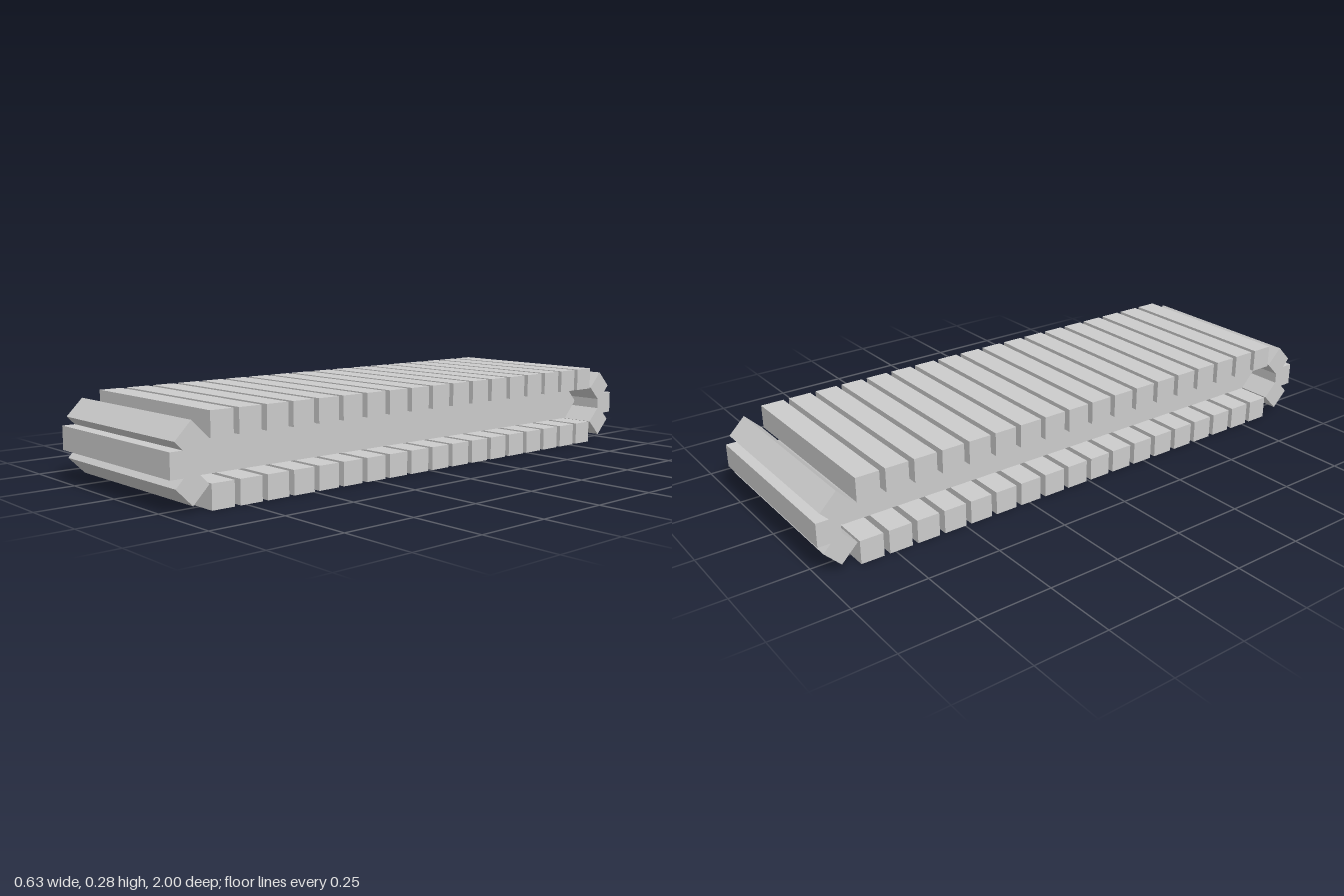
import * as THREE from 'three';

const PAD = 0.078;      // square section of a tread pad
const WIDTH = 0.634;    // pad length across the track
const MID = 0.1425;     // height of the track's centre line
const COUNT = 18;       // pads on each straight run
const REACH = 0.828;    // z of the last straight pad

export function createModel() {
  const group = new THREE.Group();
  const material = new THREE.MeshStandardMaterial({ color: 0xcccccc, flatShading: true });
  const padGeometry = new THREE.BoxGeometry(WIDTH, PAD, PAD);

  const addPad = (name, y, z, tilt = 0) => {
    const pad = new THREE.Mesh(padGeometry, material);
    pad.name = name;
    pad.position.set(0, y, z);
    pad.rotation.x = tilt;
    group.add(pad);
  };

  // Straight upper and lower runs
  for (let i = 0; i < COUNT; i++) {
    const z = -REACH + (2 * REACH * i) / (COUNT - 1);
    addPad('upperPad', 0.285 - PAD / 2, z);
    addPad('lowerPad', PAD / 2, z);
  }

  // Pads wrapping round both ends
  for (const side of [-1, 1]) {
    addPad('endPad', MID + 0.001, side * (1 - PAD / 2));
    addPad('upperCornerPad', MID + 0.067, side * 0.929, Math.PI / 4);
    addPad('lowerCornerPad', MID - 0.065, side * 0.929, Math.PI / 4);
  }

  // Inner core: a narrower slab with pointed ends, extruded across x
  const half = 0.063, straight = 0.865, tip = 0.925;
  const profile = new THREE.Shape([
    [-straight, -half], [straight, -half], [tip, 0],
    [straight, half], [-straight, half], [-tip, 0],
  ].map(([z, y]) => new THREE.Vector2(z, y)));
  const coreGeometry = new THREE.ExtrudeGeometry(profile, { depth: 0.41, bevelEnabled: false });
  coreGeometry.translate(0, 0, -0.205);
  coreGeometry.rotateY(Math.PI / 2);
  const core = new THREE.Mesh(coreGeometry, material);
  core.name = 'core';
  core.position.y = MID + 0.001;
  group.add(core);

  return group;
}
